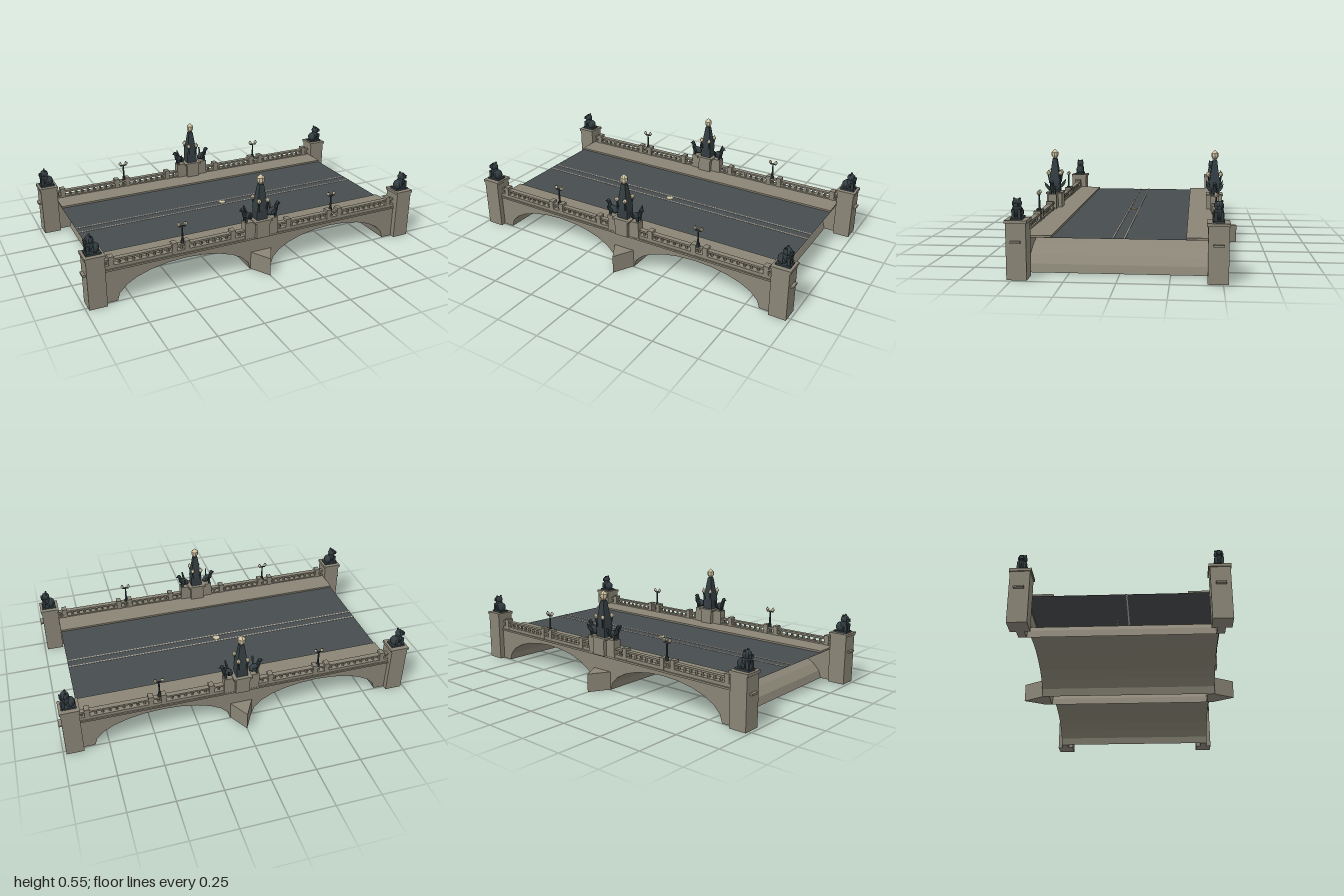
import * as THREE from 'three';

const mat = (name, color, extra = {}) => {
  const m = new THREE.MeshStandardMaterial({ color, flatShading: true, ...extra });
  m.name = name;
  return m;
};

export function createModel() {
  const root = new THREE.Group();
  root.name = 'bridge';
  const stone = mat('stone', 0x8a8576, { side: THREE.DoubleSide });
  const asphalt = mat('asphalt', 0x474c4e, { side: THREE.DoubleSide });
  const bronze = mat('bronze', 0x333d41, { side: THREE.DoubleSide });
  const glass = mat('lamp glass', 0xd0c3a2);
  const paint = mat('road paint', 0xb4b0a2);

  const add = (parent, name, geo, m, x = 0, y = 0, z = 0) => {
    const mesh = new THREE.Mesh(geo, m);
    mesh.name = name;
    mesh.position.set(x, y, z);
    parent.add(mesh);
    return mesh;
  };
  // Box given by its extents
  const box = (parent, name, m, x0, x1, y0, y1, z0, z1) =>
    add(parent, name, new THREE.BoxGeometry(x1 - x0, y1 - y0, z1 - z0), m,
      (x0 + x1) / 2, (y0 + y1) / 2, (z0 + z1) / 2);
  const ball = (parent, name, m, r, x, y, z, sx = 1, sy = 1, sz = 1) => {
    const b = add(parent, name, new THREE.SphereGeometry(r, 10, 7), m, x, y, z);
    b.scale.set(sx, sy, sz);
    return b;
  };
  const group = (parent, name, x, y, z, turn = 0) => {
    const g = new THREE.Group();
    g.name = name;
    g.position.set(x, y, z);
    g.rotation.y = turn;
    parent.add(g);
    return g;
  };

  // Half-ellipse of one arch, from its left foot to its right foot
  const archPoints = (cx) => Array.from({ length: 13 }, (_, i) => {
    const a = Math.PI - (i * Math.PI) / 12;
    return new THREE.Vector2(cx + 0.38 * Math.cos(a), 0.16 * Math.sin(a));
  });

  // Road deck and markings
  const deck = new THREE.PlaneGeometry(1.78, 0.92);
  deck.rotateX(-Math.PI / 2);
  add(root, 'road', deck, asphalt, 0, 0.189, 0);
  for (const z of [-0.028, 0.028])
    box(root, 'roadLine', paint, -0.89, 0.89, 0.189, 0.191, z - 0.004, z + 0.004);
  add(root, 'roadCentreDisc', new THREE.CylinderGeometry(0.02, 0.02, 0.003, 10), glass, 0, 0.191, 0);

  // Open vault shells under the deck
  for (const cx of [-0.445, 0.445]) {
    const pos = [], idx = [];
    archPoints(cx).forEach((p, i) => {
      pos.push(p.x, p.y, 0.46, p.x, p.y, -0.46);
      if (i) idx.push(2 * i - 2, 2 * i, 2 * i - 1, 2 * i - 1, 2 * i, 2 * i + 1);
    });
    const g = new THREE.BufferGeometry();
    g.setAttribute('position', new THREE.Float32BufferAttribute(pos, 3));
    g.setIndex(idx);
    g.computeVertexNormals();
    add(root, 'vault', g, stone);
  }

  // Seated lion facing +x
  const lion = (parent, x, y, z, turn) => {
    const g = group(parent, 'lion', x, y, z, turn);
    box(g, 'lionPlinth', bronze, -0.04, 0.04, 0, 0.01, -0.028, 0.028);
    ball(g, 'lionHaunches', bronze, 0.03, -0.012, 0.03, 0, 0.9, 0.95, 0.95);
    ball(g, 'lionChest', bronze, 0.025, 0.008, 0.047, 0, 0.9, 1.2, 0.95);
    ball(g, 'lionMane', bronze, 0.023, 0.01, 0.076, 0, 1, 1, 1.05);
    box(g, 'lionMuzzle', bronze, 0.022, 0.04, 0.062, 0.08, -0.01, 0.01);
    for (const s of [-1, 1]) {
      box(g, 'lionForeleg', bronze, 0.018, 0.034, 0.005, 0.05, s * 0.015 - 0.007, s * 0.015 + 0.007);
      ball(g, 'lionEar', bronze, 0.006, 0.006, 0.097, s * 0.014);
    }
  };

  // Winged beast facing +x
  const wing = new THREE.ExtrudeGeometry(new THREE.Shape([
    [0, 0.025], [0.022, 0.048], [0.045, 0.072], [0.042, 0.05], [0.03, 0.03], [0.01, 0.015],
  ].map((p) => new THREE.Vector2(...p))), { depth: 0.008, bevelEnabled: false });
  const beast = (parent, x, y, z, turn) => {
    const g = group(parent, 'wingedBeast', x, y, z, turn);
    const body = ball(g, 'beastBody', bronze, 0.02, 0, 0.03, 0, 1.5, 1, 1);
    body.rotation.z = 0.5;
    const neck = add(g, 'beastNeck', new THREE.CylinderGeometry(0.009, 0.014, 0.04, 8), bronze, 0.026, 0.053, 0);
    neck.rotation.z = -0.3;
    ball(g, 'beastHead', bronze, 0.012, 0.034, 0.072, 0);
    const beak = add(g, 'beastBeak', new THREE.ConeGeometry(0.007, 0.018, 6), bronze, 0.047, 0.07, 0);
    beak.rotation.z = -Math.PI / 2;
    for (const s of [-1, 1]) {
      box(g, 'beastLeg', bronze, 0.01, 0.022, 0, 0.03, s * 0.012 - 0.005, s * 0.012 + 0.005);
      const w = add(g, 'beastWing', wing, bronze, -0.005, 0, s * 0.006);
      w.rotation.y = -s * 1.35;
    }
  };

  // Everything along one side; the other side is the same turned half round
  const buildSide = (turn) => {
    const side = group(root, 'bridgeSide', 0, 0, 0, turn);
    const Z = 0.475;

    // Spandrel wall with both arch openings
    const outline = [new THREE.Vector2(-0.89, 0), ...archPoints(-0.445), ...archPoints(0.445),
      new THREE.Vector2(0.89, 0), new THREE.Vector2(0.89, 0.18), new THREE.Vector2(-0.89, 0.18)];
    add(side, 'spandrelWall', new THREE.ExtrudeGeometry(new THREE.Shape(outline),
      { depth: 0.04, bevelEnabled: false }), stone, 0, 0, 0.455);
    box(side, 'cornice', stone, -1, 1, 0.18, 0.19, 0.452, 0.502);
    box(side, 'pavement', stone, -0.89, 0.89, 0.19, 0.2, 0.325, 0.46);

    // Pointed pier nose
    const nose = new THREE.ExtrudeGeometry(new THREE.Shape([
      new THREE.Vector2(-0.065, -0.49), new THREE.Vector2(0, -0.608), new THREE.Vector2(0.065, -0.49),
    ]), { depth: 0.102, bevelEnabled: false });
    nose.rotateX(-Math.PI / 2);
    add(side, 'pierNose', nose, stone);

    // Central pedestal
    box(side, 'pedestalWings', stone, -0.1, 0.1, 0.19, 0.285, 0.452, 0.5);
    box(side, 'pedestalBlock', stone, -0.04, 0.04, 0.19, 0.283, 0.43, 0.52);
    box(side, 'pedestalCap', stone, -0.053, 0.053, 0.28, 0.29, 0.427, 0.523);

    // Obelisk with lantern and four globes
    const spire = group(side, 'obelisk', 0, 0.29, Z);
    box(spire, 'obeliskBase', bronze, -0.032, 0.032, 0, 0.06, -0.028, 0.028);
    const shaft = new THREE.CylinderGeometry(0.018, 0.046, 0.145, 4);
    shaft.rotateY(Math.PI / 4);
    add(spire, 'obeliskShaft', shaft, bronze, 0, 0.127, 0);
    const profile = [[0, 0.2], [0.012, 0.203], [0.021, 0.218], [0.021, 0.236], [0.012, 0.245], [0, 0.256]];
    add(spire, 'lantern', new THREE.LatheGeometry(profile.map((p) => new THREE.Vector2(...p)), 8), glass);
    for (const sx of [-1, 1]) for (const sz of [-1, 1]) {
      const bx = sx * 0.026, bz = sz * 0.036;
      const arm = add(spire, 'globeBracket', new THREE.CylinderGeometry(0.004, 0.006, 0.05, 6), bronze, bx * 0.9, 0.078, bz * 0.9);
      arm.rotation.set(sz * 0.2, 0, -sx * 0.15);
      ball(spire, 'globe', glass, 0.012, bx, 0.114, bz);
      add(spire, 'globeTip', new THREE.ConeGeometry(0.005, 0.012, 6), glass, bx, 0.13, bz);
    }

    for (const s of [-1, 1]) {
      const turnOut = s > 0 ? 0 : Math.PI;
      beast(side, s * 0.073, 0.285, Z, turnOut);

      // Corner post and lion
      const px = s * 0.936;
      box(side, 'cornerPost', stone, px - 0.048, px + 0.048, 0, 0.275, Z - 0.048, Z + 0.05);
      box(side, 'cornerPostCap', stone, px - 0.054, px + 0.054, 0.274, 0.289, Z - 0.054, Z + 0.054);
      lion(side, px, 0.289, Z, turnOut);

      // Balustrade
      const xa = Math.min(s * 0.1, s * 0.89), xb = Math.max(s * 0.1, s * 0.89);
      box(side, 'bottomRail', stone, xa, xb, 0.19, 0.208, 0.46, 0.494);
      box(side, 'topRail', stone, xa, xb, 0.23, 0.24, 0.462, 0.49);
      for (const p of [0.17, 0.436, 0.505, 0.847])
        box(side, 'railPier', stone, s * p - 0.014, s * p + 0.014, 0.19, 0.255, 0.457, 0.495);
      for (let x = 0.125; x < 0.88; x += 0.0375)
        add(side, 'baluster', new THREE.CylinderGeometry(0.006, 0.008, 0.026, 6), stone, s * x, 0.219, Z);

      // Twin street lamp
      const lamp = group(side, 'streetLamp', s * 0.455, 0.24, Z);
      add(lamp, 'lampBase', new THREE.CylinderGeometry(0.008, 0.013, 0.025, 8), bronze, 0, 0.01, 0);
      add(lamp, 'lampPole', new THREE.CylinderGeometry(0.004, 0.006, 0.1, 6), bronze, 0, 0.05, 0);
      box(lamp, 'lampArm', bronze, -0.02, 0.02, 0.092, 0.098, -0.003, 0.003);
      for (const e of [-1, 1]) {
        ball(lamp, 'lampGlobe', glass, 0.01, e * 0.019, 0.107, 0);
        add(lamp, 'lampTip', new THREE.ConeGeometry(0.006, 0.007, 6), bronze, e * 0.019, 0.118, 0);
      }
    }
  };
  buildSide(0);
  buildSide(Math.PI);
  return root;
}
